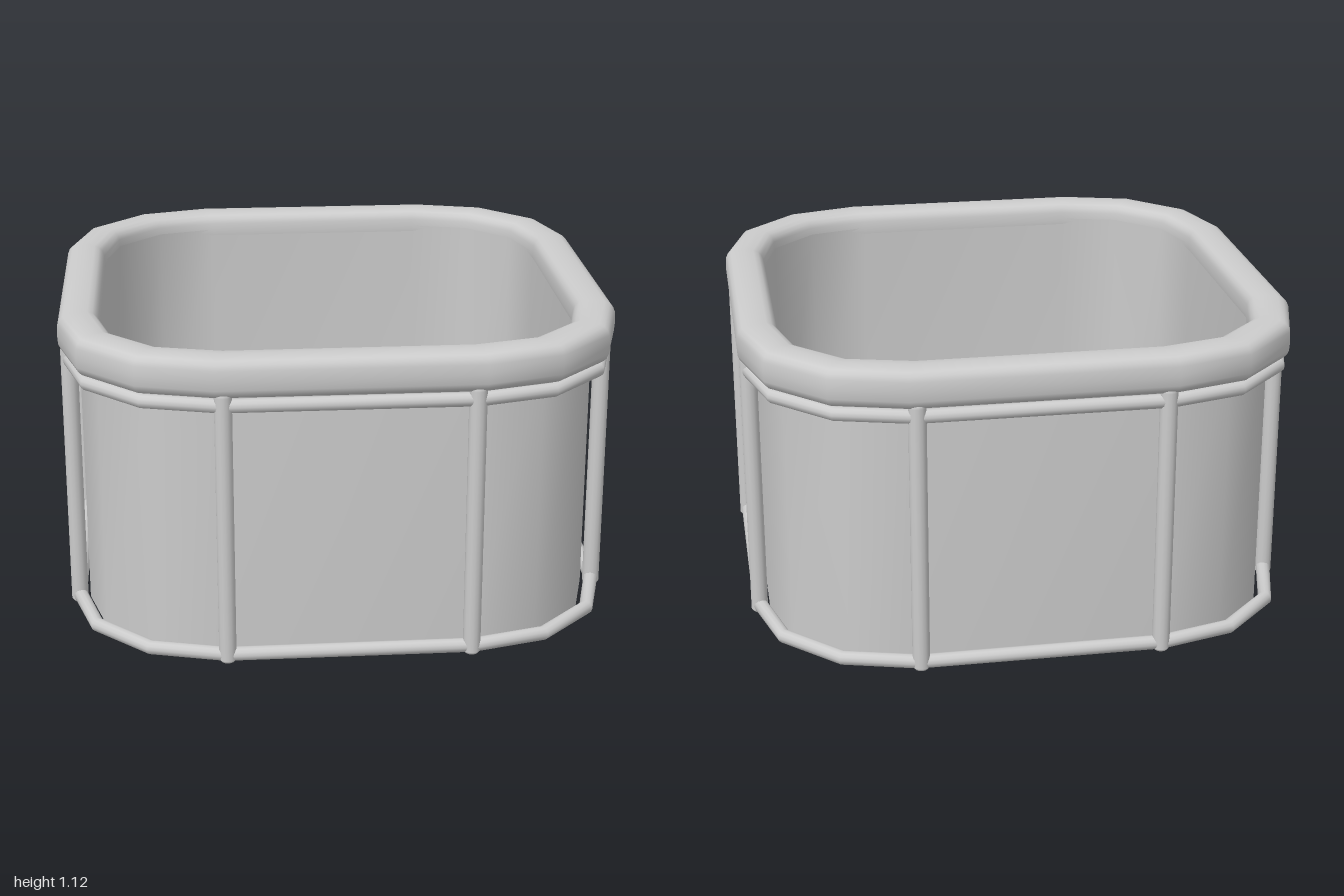
import * as THREE from 'three';

const material = new THREE.MeshStandardMaterial({ color: 0xcccccc, side: THREE.DoubleSide });

// Rounded-square outline: each corner is an arc of three flat segments.
// Every point carries the outward direction used to sweep a section along it.
function outline(half, flat) {
  const r = half - flat, rad = Math.PI / 180, points = [];
  const miter = 1 / Math.cos(17 * rad);
  for (let q = 0; q < 4; q++) {
    const cx = q === 0 || q === 3 ? flat : -flat;
    const cz = q < 2 ? flat : -flat;
    [[0, 17], [30, 35], [60, 55], [90, 73]].forEach(([arc, out]) => {
      const a = (arc + q * 90) * rad, o = (out + q * 90) * rad;
      points.push({
        x: cx + r * Math.cos(a), z: cz + r * Math.sin(a),
        nx: Math.cos(o) * miter, nz: Math.sin(o) * miter,
      });
    });
  }
  return points;
}

// Sweep a section of [outward, y] points around a closed outline
function sweepRing(path, section, closed) {
  const pos = [], index = [], n = path.length, m = section.length;
  for (const p of path) {
    for (const [u, y] of section) pos.push(p.x + p.nx * u, y, p.z + p.nz * u);
  }
  for (let i = 0; i < n; i++) {
    for (let j = 0; j < (closed ? m : m - 1); j++) {
      const k = (j + 1) % m, i2 = (i + 1) % n;
      const a = i * m + j, b = i * m + k, c = i2 * m + j, d = i2 * m + k;
      index.push(a, b, c, b, d, c);
    }
  }
  const geo = new THREE.BufferGeometry();
  geo.setAttribute('position', new THREE.Float32BufferAttribute(pos, 3));
  geo.setIndex(index);
  geo.computeVertexNormals();
  return geo;
}

// Closed round section; a power below 1 makes it squarer
function roundSection(y, radius, sides, power = 1) {
  const soft = (v) => Math.sign(v) * Math.pow(Math.abs(v), power);
  return Array.from({ length: sides }, (_, i) => {
    const a = (i / sides) * Math.PI * 2;
    return [radius * soft(Math.cos(a)), y + radius * soft(Math.sin(a))];
  });
}

export function createModel() {
  const group = new THREE.Group();
  const add = (name, geo) => {
    const mesh = new THREE.Mesh(geo, material);
    mesh.name = name;
    group.add(mesh);
    return mesh;
  };

  // Outer wall, open underneath
  add('outerWall', sweepRing(outline(0.925, 0.42), [[0, 0.005], [0, 1.05]], false));

  // Inner basin: liner flush with the inside of the rim, and its raised floor
  const floorY = 0.1;
  const linerPath = outline(0.853, 0.415);
  add('liner', sweepRing(linerPath, [[0, 1.06], [0, floorY]], false));
  const floorShape = new THREE.Shape(linerPath.map((p) => new THREE.Vector2(p.x, -p.z)));
  const floor = new THREE.ShapeGeometry(floorShape);
  floor.rotateX(-Math.PI / 2);
  floor.translate(0, floorY, 0);
  add('floor', floor);

  // Thick padded rim
  add('rim', sweepRing(outline(0.926, 0.437), roundSection(1.05, 0.074, 20, 0.65), true));

  // Rails around the frame
  const railPath = outline(0.962, 0.435);
  add('upperRail', sweepRing(railPath, roundSection(0.951, 0.025, 12), true));
  add('lowerRail', sweepRing(railPath, roundSection(0.026, 0.025, 12), true));

  // Two upright posts on each side, with softened ends
  const profile = [[0, 0], [0.024, 0], [0.031, 0.01], [0.031, 0.985], [0.022, 1], [0, 1]];
  const postGeo = new THREE.LatheGeometry(profile.map(([x, y]) => new THREE.Vector2(x, y)), 14);
  for (let side = 0; side < 4; side++) {
    for (const offset of [-0.43, 0.43]) {
      const a = (side * Math.PI) / 2, c = Math.cos(a), s = Math.sin(a);
      const post = add('post', postGeo);
      post.position.set(0.963 * c - offset * s, 0, 0.963 * s + offset * c);
    }
  }
  return group;
}
